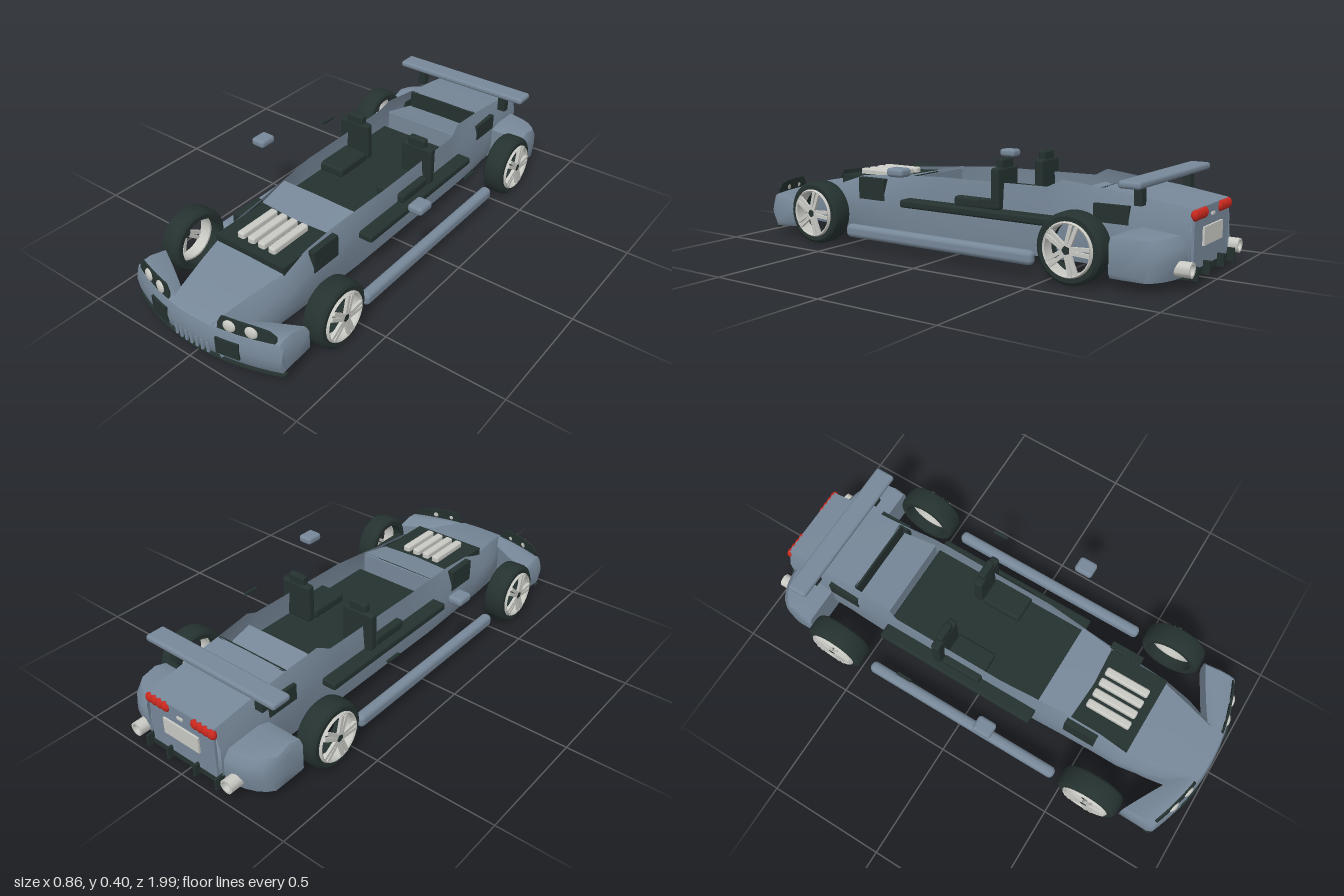
import * as THREE from 'three';
import { toCreasedNormals } from 'three/addons/utils/BufferGeometryUtils.js';
import { RoundedBoxGeometry } from 'three/addons/geometries/RoundedBoxGeometry.js';

const mat = (name, color) => {
  const m = new THREE.MeshStandardMaterial({ color, side: THREE.DoubleSide });
  m.name = name;
  return m;
};

// Surface through cross-sections; closed sections get end caps
function loft(rings, closed) {
  const pos = [];
  const tri = (...v) => v.forEach(p => pos.push(...p));
  const n = rings[0].length;
  for (let i = 0; i < rings.length - 1; i++) {
    for (let j = 0; j < (closed ? n : n - 1); j++) {
      const k = (j + 1) % n;
      const [a, b, c, d] = [rings[i][j], rings[i][k], rings[i + 1][j], rings[i + 1][k]];
      tri(a, c, d);
      tri(a, d, b);
    }
  }
  if (closed) {
    const first = rings[0], last = rings[rings.length - 1];
    for (let j = 1; j < n - 1; j++) {
      tri(first[0], first[j], first[j + 1]);
      tri(last[0], last[j + 1], last[j]);
    }
  }
  const g = new THREE.BufferGeometry();
  g.setAttribute('position', new THREE.Float32BufferAttribute(pos, 3));
  g.computeVertexNormals();
  return toCreasedNormals(g, 0.7);
}

export function createModel() {
  const paint = mat('body paint', 0x778899);
  const dark = mat('dark trim', 0x253230);
  const light = mat('light metal', 0xc9c9c4);
  const red = mat('red lens', 0xc8281e);
  const car = new THREE.Group();
  car.name = 'car';

  const add = (name, geo, m, x = 0, y = 0, z = 0, parent = car) => {
    const mesh = new THREE.Mesh(geo, m);
    mesh.name = name;
    mesh.position.set(x, y, z);
    parent.add(mesh);
    return mesh;
  };
  // Box given by its limits, with optional rounding
  const box = (name, m, x0, x1, y0, y1, z0, z1, r = 0) => {
    const s = [Math.abs(x1 - x0), y1 - y0, Math.abs(z1 - z0)];
    const g = r ? new RoundedBoxGeometry(...s, 3, r) : new THREE.BoxGeometry(...s);
    return add(name, g, m, (x0 + x1) / 2, (y0 + y1) / 2, (z0 + z1) / 2);
  };

  // Hull stations: z, floor half width, side half width, top half width, top height
  const stations = [
    [0.968, 0.13, 0.11, 0.1, 0.18], [0.9, 0.15, 0.14, 0.115, 0.2], [0.78, 0.17, 0.18, 0.14, 0.222],
    [0.66, 0.18, 0.2, 0.165, 0.238], [0.54, 0.185, 0.2, 0.168, 0.272], [0.4, 0.19, 0.2, 0.17, 0.283],
    [0.27, 0.195, 0.2, 0.18, 0.293], [0.1, 0.195, 0.2, 0.193, 0.303], [-0.4, 0.195, 0.2, 0.193, 0.308],
    [-0.46, 0.195, 0.2, 0.18, 0.338], [-0.62, 0.19, 0.2, 0.172, 0.321], [-0.78, 0.18, 0.2, 0.17, 0.303],
    [-0.968, 0.17, 0.19, 0.165, 0.275]];
  add('hull', loft(stations.map(([z, b, s, t, y]) => [
    [-t, y, z], [-s, y * 0.72, z], [-s, 0.09, z], [-b, 0.037, z],
    [b, 0.037, z], [s, 0.09, z], [s, y * 0.72, z], [t, y, z]])), paint);
  const deck = (name, list) => add(name, loft(list.map(([z, , , t, y]) => [
    [t, y, z], [0, y + 0.002, z], [-t, y, z]])), paint);
  deck('hood', stations.slice(0, 4));
  deck('rearDeck', stations.slice(10));
  deck('scuttle', [[0.42, 0, 0, 0.17, 0.262], [0.27, 0, 0, 0.178, 0.29]]);
  deck('rearBayFloor', [[-0.455, 0, 0, 0.178, 0.285], [-0.62, 0, 0, 0.172, 0.245]]);
  box('dashPanel', paint, -0.178, 0.178, 0.2, 0.285, 0.266, 0.274);
  box('cockpitBulkhead', paint, -0.18, 0.18, 0.2, 0.28, -0.462, -0.454);
  box('rearBayWall', dark, -0.167, 0.167, 0.24, 0.321, -0.625, -0.612);
  box('tailPanel', paint, -0.166, 0.166, 0.06, 0.274, -0.972, -0.962);
  box('cockpitFloor', dark, -0.26, 0.26, 0.17, 0.203, -0.455, 0.268, 0.01);

  // Engine
  box('engineBlock', dark, -0.168, 0.168, 0.18, 0.264, 0.4, 0.668);
  for (let i = 0; i < 4; i++) {
    const x = -0.079 + i * 0.051;
    box('enginePipe', light, x - 0.017, x + 0.017, 0.25, 0.288, 0.435, 0.63, 0.009);
  }

  // Front bumper, swept back at the ends
  const frontZ = x => 0.987 - 0.6 * x * x;
  const half = [0.362, 0.35, 0.33, 0.3, 0.26, 0.22, 0.18, 0.14, 0.07];
  const xs = [...half.map(x => -x), 0, ...[...half].reverse()];
  add('frontBumper', loft(xs.map(x => {
    const a = Math.abs(x), f = frontZ(x);
    const b = 0.9 - 0.138 * Math.pow(Math.max(0, a - 0.12) / 0.242, 0.9);
    const e = a > 0.36 ? 0.02 : 0;
    return [[x, 0.04 + e, f - 0.02], [x, 0.075 + e, f - 0.004], [x, 0.11, f], [x, 0.15 - e, f - 0.004],
      [x, 0.175 - e, f - 0.012], [x, 0.184 - e, f - 0.03], [x, 0.185 - e, (f + b) / 2], [x, 0.165 - e, b], [x, 0.05 + e, b]];
  }), true), paint);
  add('splitter', loft(xs.map(x => {
    const f = frontZ(x);
    return [[x, 0.034, f - 0.03], [x, 0.034, f - 0.006], [x, 0.041, f - 0.006], [x, 0.041, f - 0.03]];
  }), true), dark);
  for (let i = -3; i <= 3; i++) {
    const x = i * 0.026;
    add('noseRib', new THREE.CapsuleGeometry(0.007, 0.04, 4, 10), paint, x, 0.073, frontZ(x) - 0.006);
  }

  // Rear bumper, rounded at the corners
  add('rearBumper', loft(xs.map(x => {
    const a = Math.abs(x), u = a / 0.362;
    const r = -0.845 - 0.122 * Math.sqrt(1 - Math.pow(u, 4));
    const e = a > 0.36 ? 0.02 : 0, f = -0.745;
    return [[x, 0.04 + e, f], [x, 0.11, f], [x, 0.185 - e, f], [x, 0.2 - e, f - 0.05],
      [x, 0.185 - e, r + 0.03], [x, 0.15 - e, r + 0.005], [x, 0.1, r], [x, 0.04 + e, r + 0.015]];
  }), true), paint);

  // Wheel parts, turned about their own axle
  const lathe = (pts, n = 40) => toCreasedNormals(
    new THREE.LatheGeometry(pts.map(p => new THREE.Vector2(...p)), n), 0.5);
  const tyreGeo = lathe([[0.098, -0.045], [0.118, -0.046], [0.128, -0.038], [0.132, -0.024], [0.132, 0.024],
    [0.128, 0.038], [0.118, 0.046], [0.098, 0.045], [0.098, -0.045]]);
  const rimGeo = lathe([[0.09, 0.0], [0.099, 0.0], [0.101, 0.047], [0.096, 0.055], [0.09, 0.051], [0.09, 0.0]]);
  const hubGeo = new THREE.CylinderGeometry(0.016, 0.018, 0.02, 16);
  const spokeGeo = new THREE.BoxGeometry(0.078, 0.012, 0.014);
  const wheel = (name, s, z) => {
    const g = new THREE.Group();
    g.name = name;
    g.position.set(s * 0.357, 0.132, z);
    g.rotation.z = -s * Math.PI / 2;
    add('tyre', tyreGeo, dark, 0, 0, 0, g);
    add('rim', rimGeo, light, 0, 0, 0, g);
    add('hub', hubGeo, dark, 0, 0.047, 0, g);
    for (let i = 0; i < 5; i++) for (const o of [-0.009, 0.009]) {
      const arm = new THREE.Group();
      arm.name = 'spoke';
      arm.rotation.y = i * Math.PI * 0.4 + s * Math.PI / 2;
      add('spokeBar', spokeGeo, light, 0.053, 0.052, o, arm).rotation.y = o > 0 ? -0.06 : 0.06;
      g.add(arm);
    }
    car.add(g);
  };

  for (const s of [1, -1]) {
    wheel('frontWheel', s, 0.62);
    wheel('rearWheel', s, -0.607);

    // Headlight panel following the bumper edge, two lamps, and the intake below
    const panel = [[0.12, 0.2], [0.135, 0.23], [0.2, 0.23], [0.26, 0.228], [0.31, 0.221], [0.335, 0.2]];
    if (s < 0) panel.reverse();
    add('headlightPanel', loft(panel.map(([a, top]) => {
      const f = frontZ(a) - 0.014;
      return [[s * a, 0.176, f], [s * a, top, f - 0.006], [s * a, top, f - 0.014], [s * a, 0.176, f - 0.01]];
    }), true), dark);
    for (const x of [0.17, 0.252]) {
      const lamp = add('headlamp', new THREE.SphereGeometry(0.025, 20, 14), light, s * x, 0.201, frontZ(x) - 0.017);
      lamp.scale.z = 0.4;
      lamp.rotation.y = s * 0.25;
    }
    const vent = box('frontIntake', dark, s * 0.12, s * 0.215, 0.075, 0.145, 0.962, 0.974);
    vent.rotation.y = s * 0.2;

    // Side parts
    box('sideVent', dark, s * 0.175, s * 0.203, 0.175, 0.268, 0.4, 0.54);
    box('rearArchPanel', dark, s * 0.18, s * 0.204, 0.2, 0.268, -0.74, -0.6);
    box('sideSill', paint, s * 0.338, s * 0.384, 0.045, 0.1, -0.445, 0.457, 0.02);
    box('mirror', paint, s * 0.364, s * 0.43, 0.325, 0.36, 0.11, 0.19, 0.014);
    box('doorHandle', dark, s * 0.368, s * 0.379, 0.258, 0.268, -0.282, -0.215);

    // Seat
    box('seatCushion', dark, s * 0.088, s * 0.228, 0.198, 0.24, -0.165, 0.012, 0.012);
    box('seatBack', dark, s * 0.088, s * 0.235, 0.2, 0.366, -0.206, -0.168, 0.012);
    box('headrest', dark, s * 0.118, s * 0.2, 0.34, 0.4, -0.202, -0.17, 0.01);

    // Tail fittings
    box('spoilerPost', dark, s * 0.2, s * 0.236, 0.28, 0.355, -0.805, -0.775);
    const pipe = add('exhaust', lathe([[0.018, -0.03], [0.028, -0.03], [0.028, 0.03], [0.02, 0.03], [0.018, -0.03]], 24),
      light, s * 0.236, 0.08, -0.968);
    pipe.rotation.x = -Math.PI / 2;
    for (let i = 0; i < 4; i++) {
      const lens = add('tailLight', new THREE.SphereGeometry(0.021, 16, 12), red, s * (0.077 + i * 0.027), 0.254, -0.97);
      lens.scale.z = 0.7;
    }
    for (const x of [0.07, 0.18]) box('diffuserFin', dark, s * x - 0.005, s * x + 0.005, 0.03, 0.08, -0.997, -0.94);
  }

  box('rearPlate', light, -0.09, 0.09, 0.135, 0.203, -0.98, -0.971);
  box('tailBadge', light, -0.014, 0.014, 0.235, 0.245, -0.978, -0.971);
  box('diffuser', dark, -0.2, 0.2, 0.033, 0.058, -0.972, -0.93);
  box('spoiler', paint, -0.325, 0.325, 0.35, 0.378, -0.838, -0.752, 0.012);
  return car;
}
